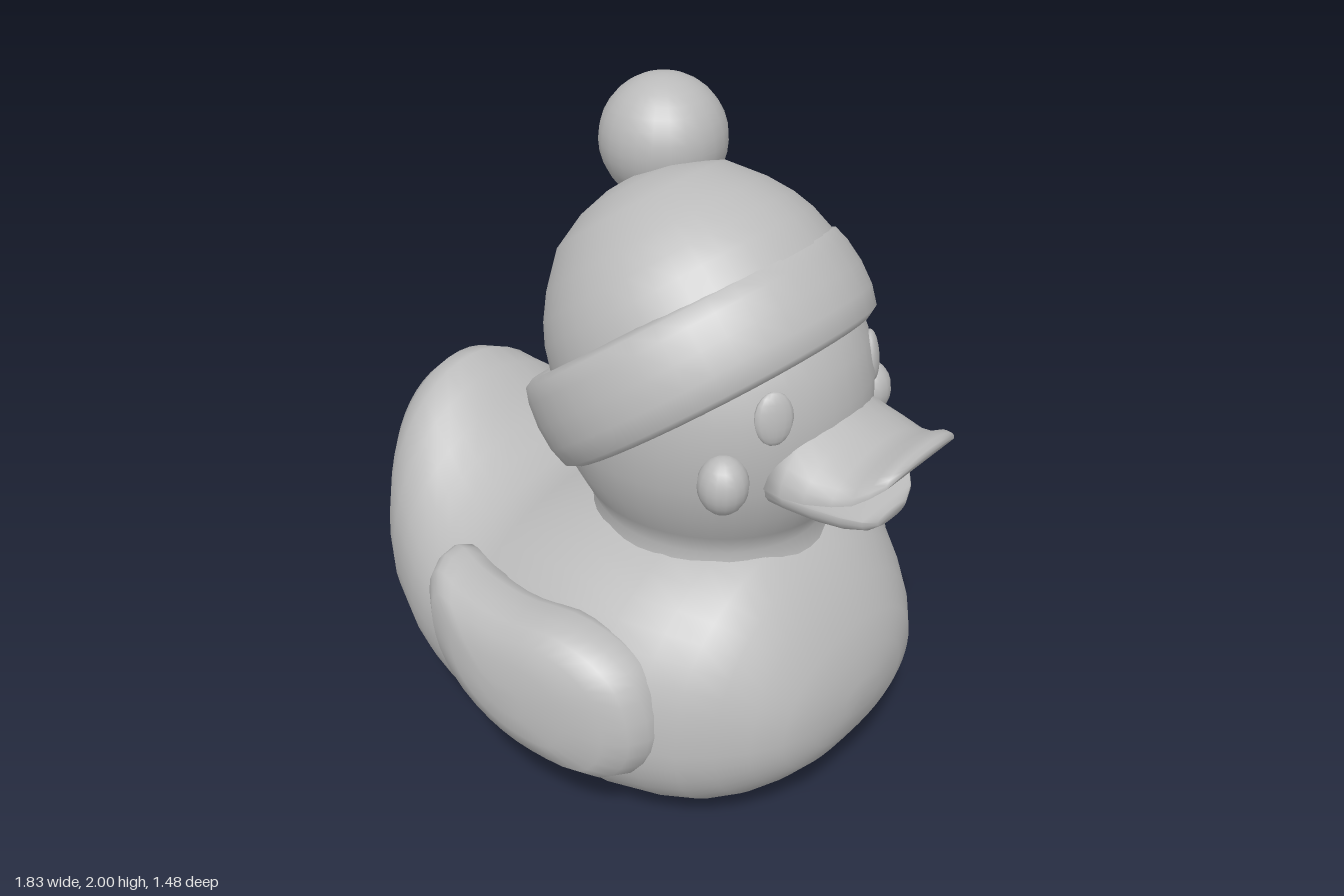
import * as THREE from 'three';

const grey = new THREE.MeshStandardMaterial({ color: 0xbbbbbb });
grey.name = 'plain grey';

function part(name, geometry, parent) {
  const mesh = new THREE.Mesh(geometry, grey);
  mesh.name = name;
  parent.add(mesh);
  return mesh;
}

// Closed skin over a list of rings with equal point counts, capped at both ends
function skin(rings, flip = false) {
  const n = rings[0].length, pos = [], index = [];
  const tri = (a, b, c) => (flip ? index.push(a, c, b) : index.push(a, b, c));
  rings.forEach((r) => r.forEach((p) => pos.push(p.x, p.y, p.z)));
  for (let i = 0; i < rings.length - 1; i++) {
    for (let j = 0; j < n; j++) {
      const k = (j + 1) % n, a = i * n + j, b = i * n + k;
      tri(a, b, b + n);
      tri(a, b + n, a + n);
    }
  }
  [0, rings.length - 1].forEach((i) => {
    const c = pos.length / 3;
    const mid = rings[i].reduce((s, p) => s.add(p), new THREE.Vector3()).divideScalar(n);
    pos.push(mid.x, mid.y, mid.z);
    for (let j = 0; j < n; j++) {
      const a = i * n + j, b = i * n + ((j + 1) % n);
      if (i === 0) tri(c, b, a); else tri(c, a, b);
    }
  });
  const g = new THREE.BufferGeometry();
  g.setAttribute('position', new THREE.Float32BufferAttribute(pos, 3));
  g.setIndex(index);
  g.computeVertexNormals();
  return g;
}

// Sections along x: [x, bottom, top, height of widest point, half width, roundness of the top]
function loft(sections, n = 36) {
  const pw = (v, e) => Math.sign(v) * Math.pow(Math.abs(v), e);
  return skin(sections.map(([x, lo, hi, mid, w, e]) => {
    const ring = [];
    for (let j = 0; j < n; j++) {
      const t = (j / n) * Math.PI * 2, s = pw(Math.sin(t), 0.95);
      const y = s > 0 ? mid + (hi - mid) * s : mid + (mid - lo) * s;
      ring.push(new THREE.Vector3(x, y, -w * pw(Math.cos(t), s > 0 ? e : Math.min(e, 0.76))));
    }
    return ring;
  }));
}

const lathe = (pts, seg = 40) =>
  new THREE.LatheGeometry(pts.map(([r, y]) => new THREE.Vector2(r, y)), seg);

// Wing: a rounded outline swelling outwards, side is +1 or -1
function wing(side) {
  const outline = new THREE.CatmullRomCurve3([
    [-0.34, 0.65], [-0.31, 0.52], [-0.2, 0.4], [0, 0.3], [0.2, 0.26], [0.4, 0.27],
    [0.48, 0.4], [0.44, 0.58], [0.35, 0.66], [0.2, 0.7], [0, 0.68], [-0.18, 0.685], [-0.3, 0.7],
  ].map(([x, y]) => new THREE.Vector3(x, y, 0)), true).getPoints(40).slice(0, 40);
  const steps = [[0.8, 0.53], [0.95, 0.545], [1, 0.59], [0.985, 0.645], [0.92, 0.69],
    [0.78, 0.722], [0.5, 0.736], [0.2, 0.74]];
  return skin(steps.map(([s, z]) => outline.map((p) => {
    const x = 0.06 + (p.x - 0.06) * s, y = 0.46 + (p.y - 0.46) * s;
    const bend = 0.32 * (x - 0.04) ** 2 + 0.4 * (y - 0.4) ** 2;
    return new THREE.Vector3(x, y, side * (z - bend));
  })), side < 0);
}

export function createModel() {
  const duck = new THREE.Group();
  duck.name = 'duck';

  // Body with upturned tail
  part('body', loft([
    [-0.918, 0.56, 0.72, 0.63, 0.08, 1], [-0.9, 0.44, 0.8, 0.6, 0.17, 1],
    [-0.86, 0.32, 0.9, 0.56, 0.26, 1], [-0.8, 0.235, 0.955, 0.52, 0.335, 1],
    [-0.74, 0.18, 0.965, 0.48, 0.4, 1.02], [-0.66, 0.13, 0.93, 0.45, 0.46, 1.02],
    [-0.58, 0.09, 0.865, 0.43, 0.5, 1], [-0.5, 0.06, 0.81, 0.41, 0.54, 0.95],
    [-0.42, 0.035, 0.775, 0.4, 0.57, 0.9], [-0.33, 0.018, 0.757, 0.39, 0.595, 0.86],
    [-0.22, 0.008, 0.772, 0.38, 0.62, 0.85], [-0.1, 0.002, 0.835, 0.37, 0.645, 0.86],
    [0.1, 0, 0.87, 0.37, 0.655, 0.86], [0.3, 0.003, 0.875, 0.37, 0.635, 0.86],
    [0.43, 0.015, 0.865, 0.37, 0.59, 0.86], [0.53, 0.04, 0.84, 0.37, 0.54, 0.87],
    [0.61, 0.08, 0.78, 0.37, 0.47, 0.88], [0.68, 0.14, 0.695, 0.375, 0.4, 0.92],
    [0.735, 0.2, 0.6, 0.38, 0.32, 0.95], [0.766, 0.26, 0.52, 0.38, 0.22, 1],
    [0.783, 0.33, 0.44, 0.385, 0.09, 1],
  ], 44), duck);
  part('leftWing', wing(1), duck);
  part('rightWing', wing(-1), duck);

  // Head and neck
  const head = part('head', lathe([
    [0.34, 0.78], [0.315, 0.85], [0.35, 0.92], [0.39, 1.0], [0.416, 1.1], [0.426, 1.2],
    [0.423, 1.3], [0.4, 1.4], [0.355, 1.5], [0.27, 1.6], [0.14, 1.67], [0, 1.69],
  ]), duck);
  head.position.x = 0.22;
  head.scale.x = 1.08;

  // Open bill, the upper half arched over the mouth
  part('upperBill', loft([
    [0.56, 1.15, 1.3, 1.12, 0.245, 1.25], [0.64, 1.165, 1.285, 1.12, 0.255, 1.25],
    [0.71, 1.17, 1.25, 1.125, 0.248, 1.2], [0.78, 1.17, 1.227, 1.135, 0.225, 1.1],
    [0.83, 1.18, 1.233, 1.15, 0.208, 1], [0.87, 1.195, 1.252, 1.18, 0.195, 0.9],
    [0.9, 1.205, 1.256, 1.205, 0.165, 0.85], [0.914, 1.225, 1.25, 1.23, 0.11, 0.8],
  ], 28), duck);
  part('lowerBill', loft([
    [0.56, 1.02, 1.1, 1.12, 0.245, 1], [0.64, 1.02, 1.095, 1.115, 0.245, 1],
    [0.71, 1.005, 1.08, 1.095, 0.215, 1], [0.77, 0.993, 1.06, 1.07, 0.17, 0.95],
    [0.81, 0.993, 1.05, 1.045, 0.12, 0.9], [0.828, 1.005, 1.04, 1.025, 0.07, 0.9],
  ], 28), duck);

  // Cheeks and flat eyes
  for (const side of [1, -1]) {
    const name = side > 0 ? 'left' : 'right';
    const cheek = part(name + 'Cheek', new THREE.SphereGeometry(0.075, 16, 12), duck);
    cheek.position.set(0.518, 1.15, side * 0.335);
    cheek.scale.set(0.92, 1.12, 0.92);
    const eye = part(name + 'Eye', new THREE.SphereGeometry(1, 14, 10), duck);
    eye.scale.set(0.022, 0.075, 0.055);
    eye.position.set(0.592, 1.325, side * 0.225);
    eye.rotation.set(0, -side * 0.57, 0.12);
  }

  // Knitted hat, tipped back
  const hat = new THREE.Group();
  hat.name = 'hat';
  hat.position.set(0.17, 1.31, 0);
  hat.rotation.z = Math.atan2(0.6, 0.8);
  duck.add(hat);
  const crown = part('hatCrown', lathe([
    [0.44, 0.02], [0.433, 0.12], [0.415, 0.19], [0.388, 0.25], [0.342, 0.32], [0.262, 0.41],
    [0.16, 0.462], [0.07, 0.485], [0, 0.49],
  ]), hat);
  crown.position.x = 0.05;
  part('hatBrim', lathe([
    [0.38, -0.1], [0.41, -0.13], [0.455, -0.145], [0.485, -0.128], [0.5, -0.07], [0.503, 0],
    [0.495, 0.07], [0.482, 0.112], [0.455, 0.126], [0.425, 0.115], [0.4, 0.08],
  ]), hat);

  // Pompom
  part('pompom', new THREE.SphereGeometry(0.181, 24, 16), duck).position.set(-0.067, 1.819, -0.133);
  return duck;
}
